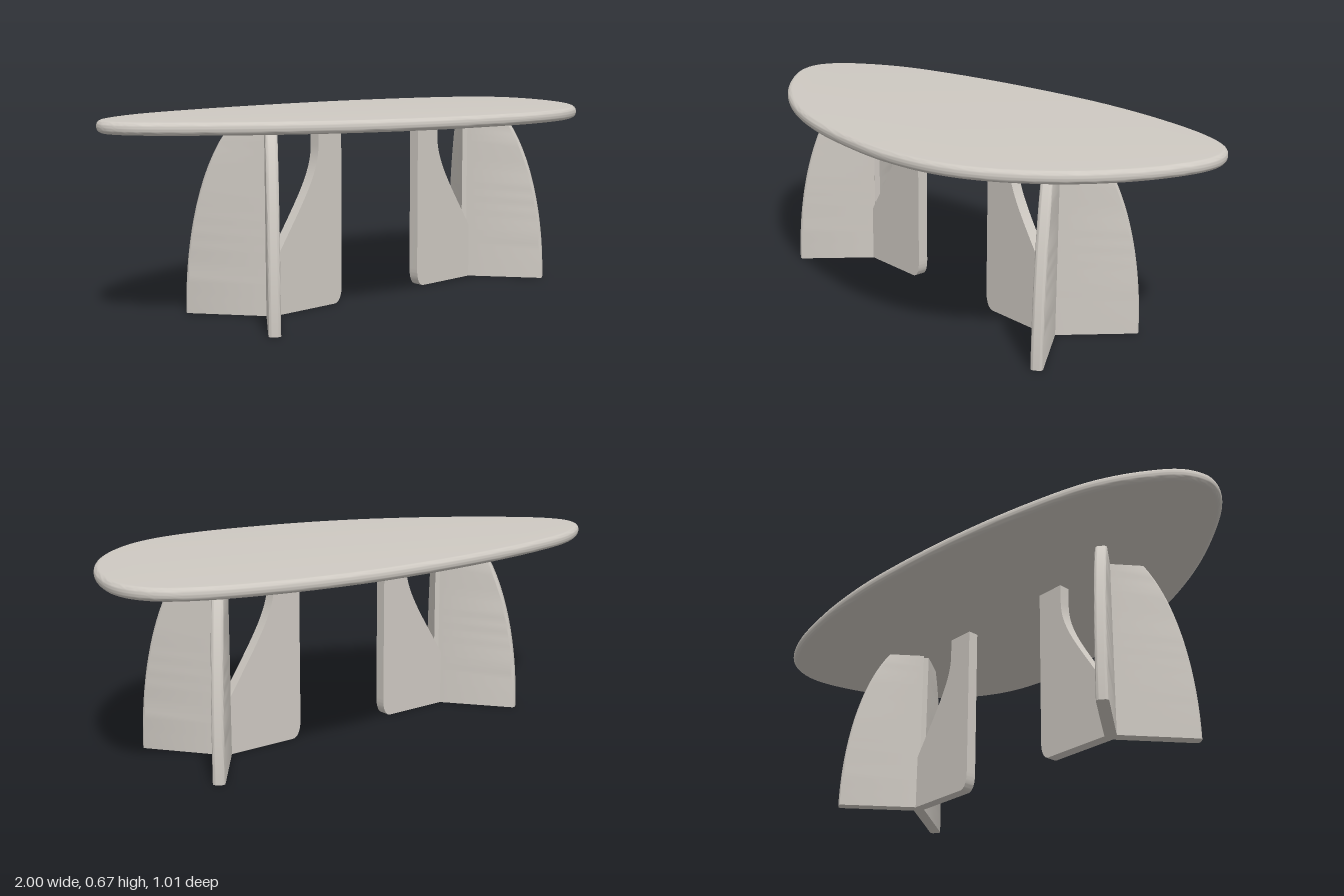
import * as THREE from 'three';
import { toCreasedNormals } from 'three/addons/utils/BufferGeometryUtils.js';

const HEIGHT = 0.635;  // fin height, ending just inside the top
const LENGTH = 0.296;  // fin reach from the hub
const THICK = 0.04;

// Free-form slab with a rounded rim
function topGeometry() {
  const outline = [
    [-1, -0.14], [-0.97, -0.22], [-0.88, -0.3], [-0.73, -0.38], [-0.5, -0.44], [-0.2, -0.485],
    [0.1, -0.506], [0.3, -0.506], [0.55, -0.48], [0.8, -0.42], [0.93, -0.35], [0.985, -0.27],
    [1, -0.18], [0.97, -0.03], [0.9, 0.13], [0.8, 0.27], [0.65, 0.4], [0.5, 0.47], [0.3, 0.5],
    [0.1, 0.49], [-0.15, 0.45], [-0.4, 0.37], [-0.65, 0.24], [-0.85, 0.09], [-0.95, -0.01], [-0.99, -0.08],
  ].map(([x, z]) => new THREE.Vector3(x, -z, 0));
  const curve = new THREE.CatmullRomCurve3(outline, true);
  const shape = new THREE.Shape(curve.getPoints(160).slice(0, -1).map((p) => new THREE.Vector2(p.x, p.y)));
  const geo = new THREE.ExtrudeGeometry(shape, {
    depth: 0.004, bevelThickness: 0.018, bevelSize: 0.017, bevelOffset: -0.017, bevelSegments: 6,
  });
  geo.rotateX(-Math.PI / 2).translate(0, 0.648, 0);
  return toCreasedNormals(geo, 0.6);
}

// Upright fin with a rounded outer edge that sweeps inward towards the top
function outerFinGeometry() {
  const h = THICK / 2, r = 0.012;
  const plan = new THREE.Shape();
  plan.moveTo(0, -h);
  plan.lineTo(LENGTH - r, -h);
  plan.absarc(LENGTH - r, -h + r, r, -Math.PI / 2, 0);
  plan.absarc(LENGTH - r, h - r, r, 0, Math.PI / 2);
  plan.lineTo(0, h);
  const geo = new THREE.ExtrudeGeometry(plan, { depth: HEIGHT, steps: 24, bevelEnabled: false, curveSegments: 6 });
  geo.rotateX(-Math.PI / 2);
  const pos = geo.attributes.position;
  for (let i = 0; i < pos.count; i++) {
    if (pos.getX(i) < 0.1) continue;
    const reach = LENGTH * Math.sqrt(1 - (pos.getY(i) / 0.71) ** 2);
    pos.setX(i, pos.getX(i) - LENGTH + reach);
  }
  return toCreasedNormals(geo, 0.6);
}

// Fin facing the middle of the table, with a scooped opening beside the hub
function innerFinGeometry() {
  const s = new THREE.Shape();
  s.moveTo(0, 0);
  s.lineTo(LENGTH - 0.035, 0);
  s.bezierCurveTo(LENGTH - 0.01, 0, LENGTH, 0.03, LENGTH, 0.065);
  s.lineTo(LENGTH, HEIGHT);
  s.lineTo(0.192, HEIGHT);
  s.lineTo(0.192, 0.56);
  s.bezierCurveTo(0.192, 0.46, 0.12, 0.37, 0.01, 0.2);
  s.lineTo(0, 0.19);
  const geo = new THREE.ExtrudeGeometry(s, { depth: THICK, bevelEnabled: false, curveSegments: 16 });
  geo.translate(0, 0, -THICK / 2);
  return toCreasedNormals(geo, 0.6);
}

export function createModel() {
  const model = new THREE.Group();
  model.name = 'table';
  const stone = new THREE.MeshStandardMaterial({ color: 0xcec9c2 });
  stone.name = 'warmGrey';

  const add = (parent, name, geo, angle = 0) => {
    const mesh = new THREE.Mesh(geo, stone);
    mesh.name = name;
    mesh.rotation.y = angle;
    parent.add(mesh);
  };

  add(model, 'tableTop', topGeometry());

  // Two three-finned pedestals, turned to face each other
  const outer = outerFinGeometry();
  const inner = innerFinGeometry();
  const splay = THREE.MathUtils.degToRad(52.8);
  for (const [name, x, turn] of [['leftLeg', 0.521, 0], ['rightLeg', -0.45, Math.PI]]) {
    const leg = new THREE.Group();
    leg.name = name;
    leg.position.set(x, 0, -0.012);
    leg.rotation.y = turn;
    add(leg, 'outerFinA', outer, splay);
    add(leg, 'outerFinB', outer, -splay);
    add(leg, 'innerFin', inner, Math.PI);
    model.add(leg);
  }
  return model;
}
